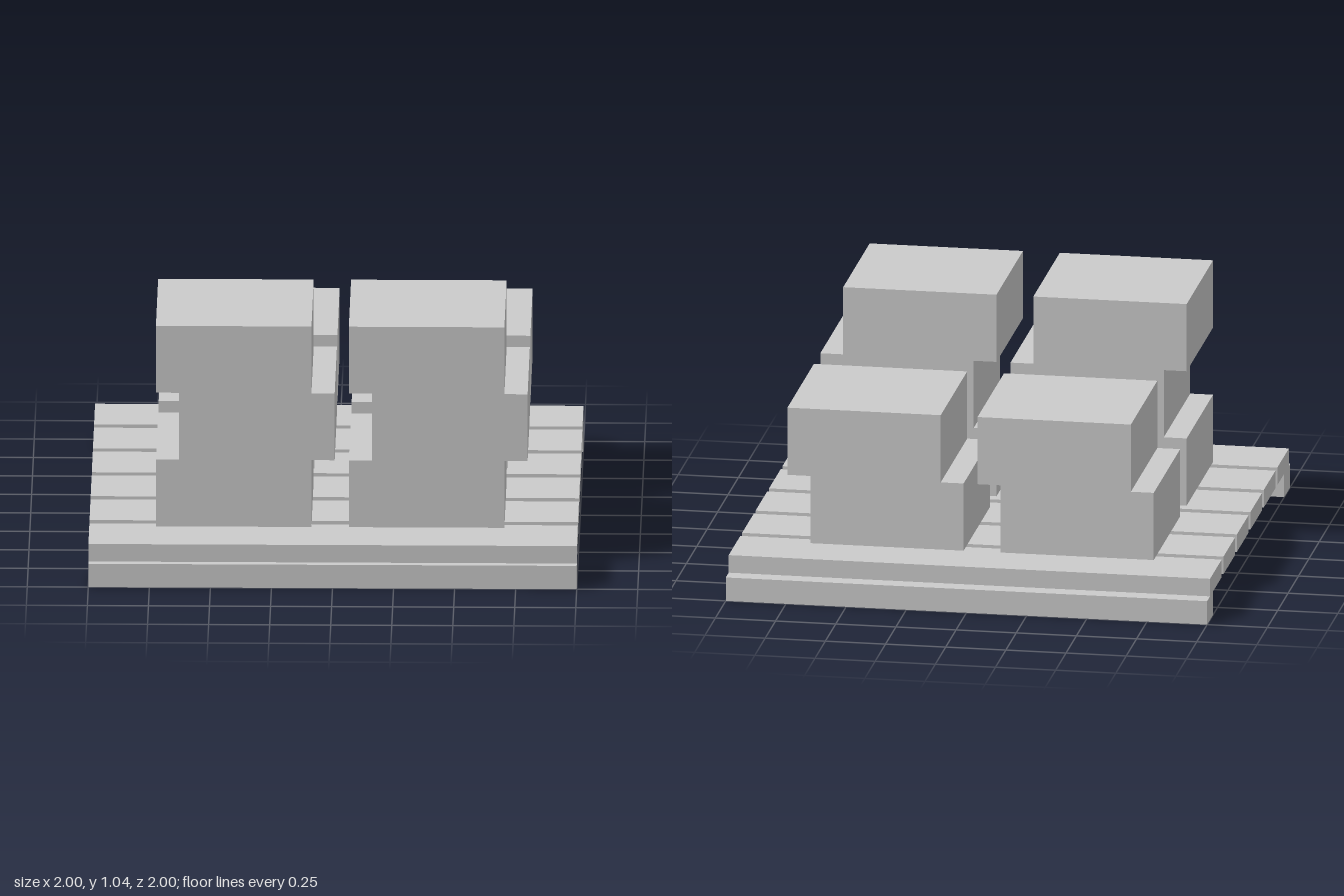
import * as THREE from 'three';

const DECK_BOTTOM = 0.1, DECK_TOP = 0.175;
const CRATE_W = 0.637, CRATE_H = 0.287, SHIFT = 0.095;

export function createModel() {
  const model = new THREE.Group();
  const material = new THREE.MeshStandardMaterial({ color: 0xcccccc, flatShading: true });

  const add = (parent, name, geometry, x, y, z) => {
    const mesh = new THREE.Mesh(geometry, material);
    mesh.name = name;
    mesh.position.set(x, y, z);
    parent.add(mesh);
  };

  // Pallet: two runners under six evenly spaced slats
  const pallet = new THREE.Group();
  pallet.name = 'pallet';
  model.add(pallet);
  const runner = new THREE.BoxGeometry(2, DECK_BOTTOM, 0.145);
  add(pallet, 'frontRunner', runner, 0, DECK_BOTTOM / 2, 0.9275);
  add(pallet, 'backRunner', runner, 0, DECK_BOTTOM / 2, -0.9275);
  const slat = new THREE.BoxGeometry(2, DECK_TOP - DECK_BOTTOM, 0.28);
  for (let i = 0; i < 6; i++) {
    add(pallet, `slat${i + 1}`, slat, 0, (DECK_BOTTOM + DECK_TOP) / 2, 0.828 - i * 0.3236);
  }

  // Stack of crates: every second layer is shifted sideways, one continuous stepped profile
  const stackGeometry = (layers) => {
    const left = [], right = [];
    for (let i = 0; i < layers; i++) {
      const x = (i % 2) * SHIFT;
      for (const y of [i * CRATE_H, (i + 1) * CRATE_H]) {
        right.push(new THREE.Vector2(x + CRATE_W, y));
        left.unshift(new THREE.Vector2(x, y));
      }
    }
    return new THREE.ExtrudeGeometry(new THREE.Shape([...right, ...left]), {
      depth: CRATE_W, bevelEnabled: false,
    });
  };

  // Two tall stacks in front, two short ones behind
  const rows = [
    { name: 'front', layers: 3, z: 0.088 },
    { name: 'back', layers: 2, z: -0.704 },
  ];
  for (const { name, layers, z } of rows) {
    const geometry = stackGeometry(layers);
    add(model, `${name}RightCrateStack`, geometry, -0.727, DECK_TOP, z);
    add(model, `${name}LeftCrateStack`, geometry, 0.063, DECK_TOP, z);
  }

  return model;
}
